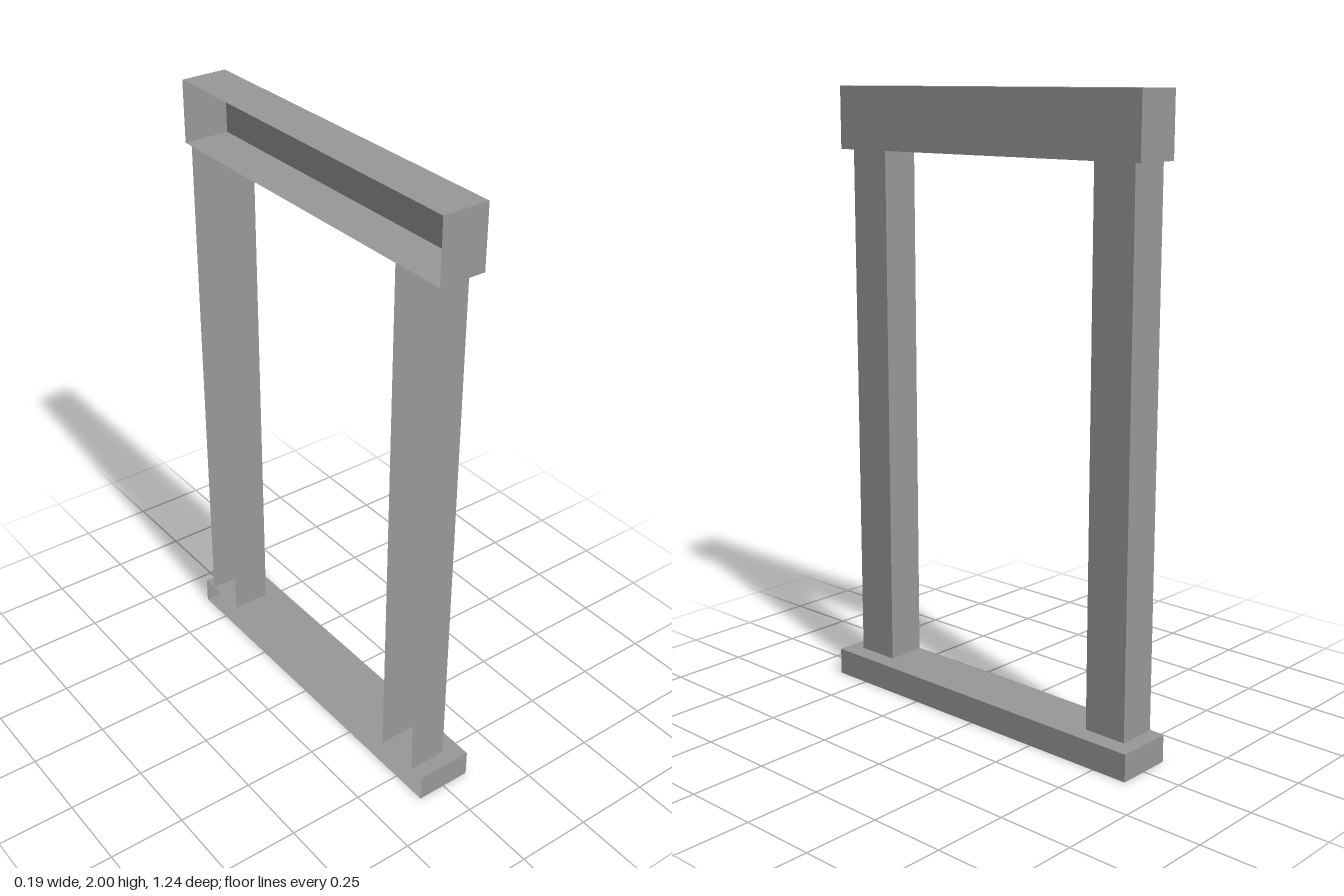
import * as THREE from 'three';

const BACK = -0.094; // shared open wall plane

export function createModel() {
  const group = new THREE.Group();
  const grey = new THREE.MeshStandardMaterial({ color: 0x999999, side: THREE.DoubleSide });
  grey.name = 'grey';

  // Box without the listed faces (0 +x, 1 -x, 2 +y, 3 -y, 4 +z, 5 -z)
  function openBox(name, front, y0, y1, z0, z1, missing) {
    const geo = new THREE.BoxGeometry(front - BACK, y1 - y0, z1 - z0);
    const index = Array.from(geo.index.array).filter((_, i) => !missing.includes(Math.floor(i / 6)));
    geo.setIndex(index);
    geo.clearGroups();
    const mesh = new THREE.Mesh(geo, grey);
    mesh.name = name;
    mesh.position.set((front + BACK) / 2, (y0 + y1) / 2, (z0 + z1) / 2);
    group.add(mesh);
  }

  // Sill and lintel, open towards the wall
  openBox('sill', 0.094, 0, 0.088, -0.622, 0.622, [1]);
  openBox('lintel', 0.058, 1.8, 2, -0.606, 0.606, [1]);

  // Side jambs, open towards the wall and where they meet sill and lintel
  openBox('leftJamb', 0.035, 0.088, 1.8, 0.425, 0.571, [1, 2, 3]);
  openBox('rightJamb', 0.035, 0.088, 1.8, -0.571, -0.425, [1, 2, 3]);

  return group;
}
